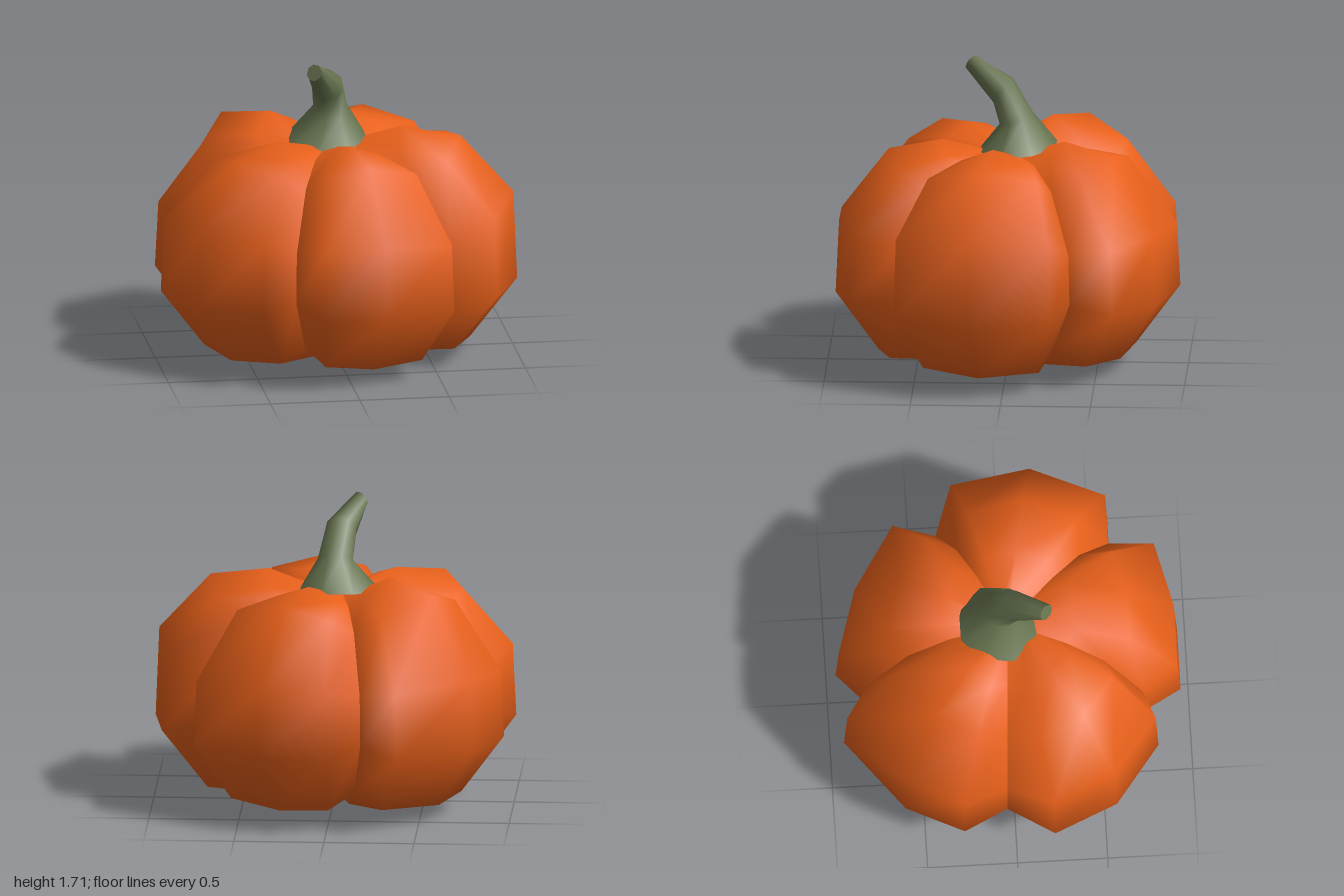
import * as THREE from 'three';

// Smooth surface from rows of points (bottom to top, counter-clockwise from above)
function gridGeometry(rows, closed) {
  const n = rows[0].length;
  const index = [];
  const cols = closed ? n : n - 1;
  for (let r = 0; r < rows.length - 1; r++) {
    for (let c = 0; c < cols; c++) {
      const d = (c + 1) % n;
      const a = r * n + c, b = r * n + d, e = a + n, f = b + n;
      index.push(a, b, f, a, f, e);
    }
  }
  const geometry = new THREE.BufferGeometry();
  geometry.setAttribute('position', new THREE.Float32BufferAttribute(rows.flat(2), 3));
  geometry.setIndex(index);
  geometry.computeVertexNormals();
  return geometry;
}

// Profiles as [share of the outline radius, height]: lobe crown and the crease between lobes
const crown = [[0, 0.03], [0.14, 0.0], [0.75, 0.09], [1, 0.43], [0.98, 0.85], [0.7, 1.24], [0.38, 1.29], [0.12, 1.21], [0, 1.18]];
const crease = [[0, 0.03], [0.25, 0.06], [0.72, 0.18], [1, 0.5], [0.98, 0.78], [0.7, 1.09], [0.42, 1.19], [0.12, 1.2], [0, 1.18]];
// How far the columns beside the crown rise from crease to crown, row by row
const fullness = [0.75, 0.75, 0.75, 0.75, 0.75, 0.6, 0.35, 0.3, 0.3];

// Plan outline of each lobe [x, z], from crease to crease, with the heights of its top and shoulder
const lobes = [
  { name: 'frontLobe', top: 1.28, shoulder: 0.84, plan: [[-0.32, 0.75], [-0.19, 0.95], [0.17, 0.95], [0.55, 0.86], [0.58, 0.6]] },
  { name: 'leftLobe', top: 1.3, shoulder: 0.93, plan: [[0.58, 0.6], [0.83, 0.6], [1.0, 0.18], [0.94, -0.27], [0.68, -0.37]] },
  { name: 'backLeftLobe', top: 1.29, shoulder: 0.82, plan: [[0.68, -0.37], [0.745, -0.61], [0.37, -0.845], [0, -0.955], [-0.19, -0.8]] },
  { name: 'backRightLobe', top: 1.33, shoulder: 0.83, plan: [[-0.19, -0.8], [-0.4, -0.93], [-0.8, -0.61], [-0.96, -0.29], [-0.86, -0.05]] },
  { name: 'frontRightLobe', top: 1.28, shoulder: 0.88, plan: [[-0.86, -0.05], [-1.0, 0.21], [-0.84, 0.56], [-0.51, 0.81], [-0.32, 0.75]] },
];
const hub = [-0.03, 0];

function lobeGeometry({ plan, top, shoulder }) {
  const rows = crown.map(([cr, cy], r) => {
    let high = cy;
    if (r === 4) high = shoulder;
    if (r === 5 || r === 6) high = cy * top / 1.29;
    const weights = [0, fullness[r], 1, fullness[r], 0];
    return plan.map(([x, z], c) => {
      const share = THREE.MathUtils.lerp(crease[r][0], cr, weights[c]);
      const y = THREE.MathUtils.lerp(crease[r][1], high, weights[c]);
      return [hub[0] + (x - hub[0]) * share, y, hub[1] + (z - hub[1]) * share];
    });
  });
  return gridGeometry(rows, false);
}

// Stem rings: centre, radius and the direction the ring faces
const stemRings = [
  { at: [-0.03, 1.21, -0.05], radius: 0.235, facing: [0, 1, 0.12] },
  { at: [-0.01, 1.385, -0.045], radius: 0.102, facing: [0, 0.19, 0.07] },
  { at: [-0.04, 1.54, 0.03], radius: 0.09, facing: [-0.03, 0.1, 0.14] },
  { at: [-0.14, 1.667, 0.207], radius: 0.048, facing: [-0.08, 0.05, 0.09] },
];
const stemSides = 8;

function ringPoints({ at, radius, facing }) {
  const turn = new THREE.Quaternion().setFromUnitVectors(
    new THREE.Vector3(0, 1, 0), new THREE.Vector3(...facing).normalize());
  return Array.from({ length: stemSides }, (_, i) => {
    const a = (i / stemSides) * Math.PI * 2 + 0.4;
    return new THREE.Vector3(Math.sin(a) * radius, 0, Math.cos(a) * radius)
      .applyQuaternion(turn).add(new THREE.Vector3(...at)).toArray();
  });
}

export function createModel() {
  const orange = new THREE.MeshStandardMaterial({ name: 'pumpkinOrange', color: 0xe8601a });
  const green = new THREE.MeshStandardMaterial({ name: 'stemGreen', color: 0x66734f });
  const model = new THREE.Group();
  model.name = 'pumpkin';
  const add = (name, geometry, material, parent) => {
    const mesh = new THREE.Mesh(geometry, material);
    mesh.name = name;
    parent.add(mesh);
  };

  // Body: five swelling lobes
  const body = new THREE.Group();
  body.name = 'body';
  for (const lobe of lobes) add(lobe.name, lobeGeometry(lobe), orange, body);
  model.add(body);

  // Bent stem with a flat cut end
  const stem = new THREE.Group();
  stem.name = 'stem';
  const rings = stemRings.map(ringPoints);
  add('stalk', gridGeometry(rings, true), green, stem);
  const tip = stemRings[stemRings.length - 1];
  const end = rings[rings.length - 1];
  add('stalkEnd', gridGeometry([end, end.map(() => tip.at)], true), green, stem);
  model.add(stem);

  return model;
}
